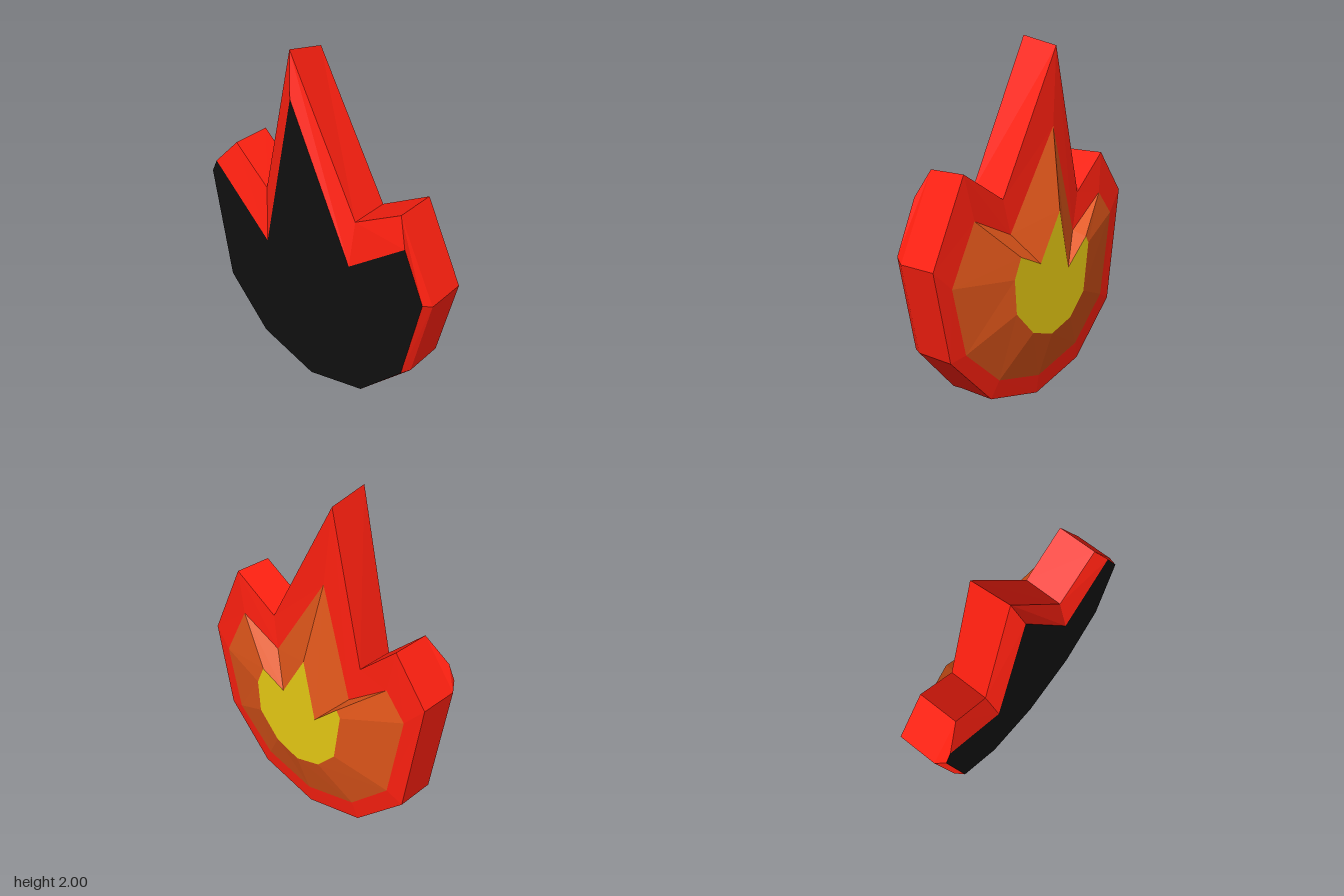
import * as THREE from 'three';

// Matching flame outlines, counter-clockwise seen from the front, starting at the bottom
const frontEdge = [[0, 0.005], [0.38, 0.12], [0.65, 0.42], [0.755, 0.94], [0.63, 1.22], [0.28, 0.94],
  [-0.11, 1.77], [-0.32, 0.82], [-0.705, 1.19], [-0.745, 1.11], [-0.645, 0.42], [-0.375, 0.12]];
const rim = [[0, 0.03], [0.38, 0.125], [0.675, 0.42], [0.78, 0.915], [0.56, 1.36], [0.275, 1.19],
  [-0.155, 2], [-0.36, 1.13], [-0.585, 1.33], [-0.78, 1.08], [-0.68, 0.42], [-0.375, 0.125]];
const orangeEdge = [[0, 0.14], [0.33, 0.22], [0.58, 0.44], [0.67, 0.81], [0.505, 1.12], [0.235, 1.0],
  [-0.115, 1.53], [-0.3, 0.92], [-0.55, 1.1], [-0.67, 0.96], [-0.585, 0.47], [-0.34, 0.23]];
const yellowEdge = [[0, 0.41], [0.16, 0.46], [0.295, 0.6], [0.31, 0.79], [0.26, 0.9], [0.1, 0.83],
  [-0.06, 1.09], [-0.14, 0.755], [-0.3, 0.9], [-0.325, 0.86], [-0.285, 0.585], [-0.165, 0.46]];

const atDepth = (outline, z) => outline.map(([x, y]) => new THREE.Vector3(x, y, z));

// Faceted band through a list of loops, ordered front to back
function band(loops) {
  const pts = [];
  for (let k = 0; k < loops.length - 1; k++) {
    const a = loops[k], b = loops[k + 1];
    a.forEach((p, i) => {
      const j = (i + 1) % a.length;
      pts.push(p, b[i], b[j], p, b[j], a[j]);
    });
  }
  return pts;
}

// Flat cap filling one loop
function cap(loop, facesBack) {
  return THREE.ShapeUtils.triangulateShape(loop, []).flatMap(([a, b, c]) =>
    (facesBack ? [a, c, b] : [a, b, c]).map((i) => loop[i]));
}

function part(name, points, color) {
  const geometry = new THREE.BufferGeometry().setFromPoints(points);
  geometry.computeVertexNormals();
  const mesh = new THREE.Mesh(geometry, new THREE.MeshStandardMaterial({ color, flatShading: true }));
  mesh.name = name;
  return mesh;
}

export function createModel() {
  const group = new THREE.Group();
  group.name = 'flame';

  const front = atDepth(frontEdge, 0.193);
  const shoulder = atDepth(rim, 0.14);
  const back = atDepth(rim, -0.085);
  back[6].y = 1.95; // the tall tip slopes down towards the back
  const orange = atDepth(orangeEdge, -0.1);
  const yellow = atDepth(yellowEdge, -0.193);

  group.add(
    part('frontPlate', cap(front, false), 0x101010),
    part('outerFlame', band([front, shoulder, back, orange]), 0xff2010),
    part('middleFlame', band([orange, yellow]), 0xe0561a),
    part('innerFlame', cap(yellow, true), 0xe8cb14),
  );
  return group;
}
